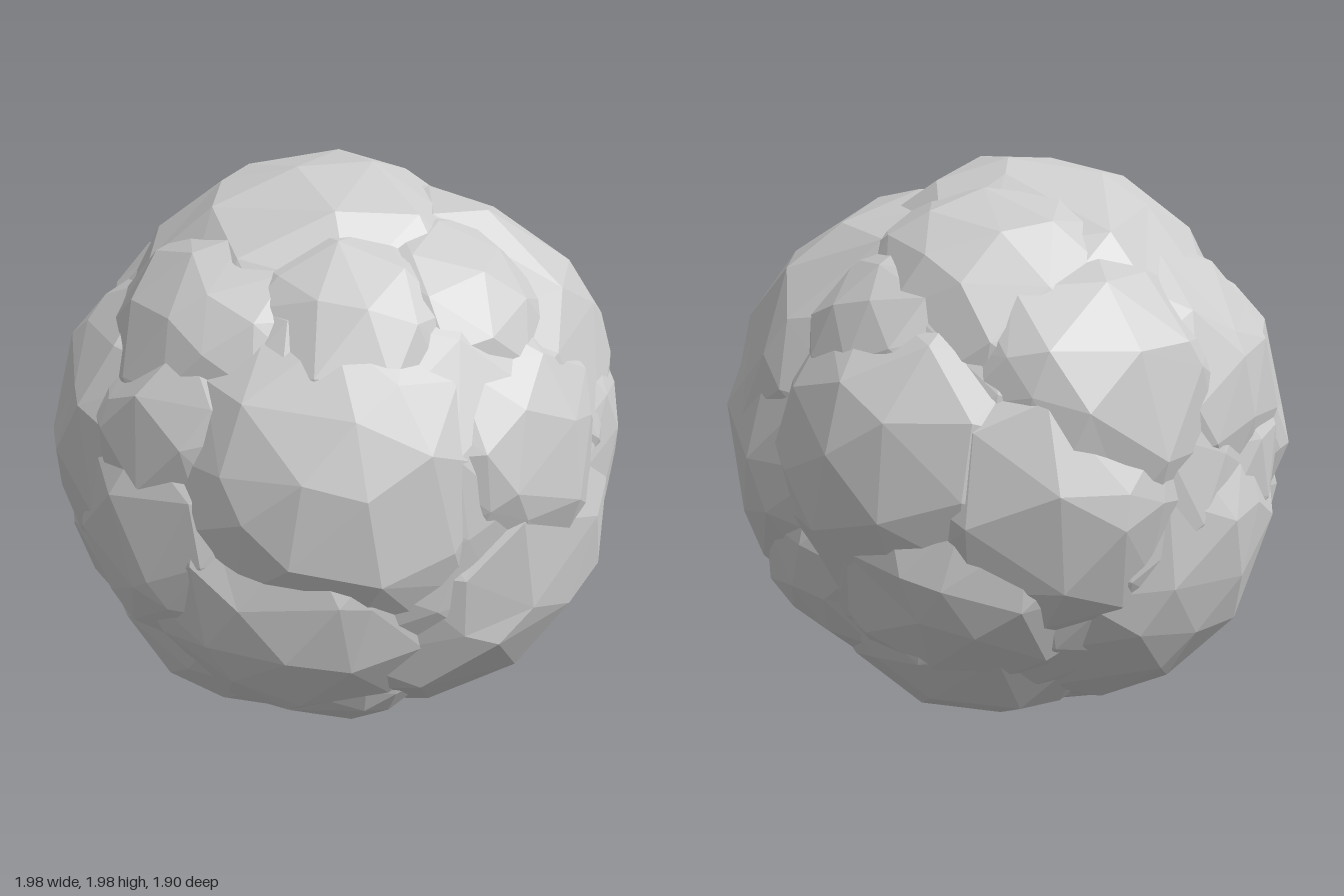
import * as THREE from 'three';

// Repeatable value in -1..1 for a vertex, so shared corners move together
function hash(v, seed) {
  const k = Math.round(v.x * 50) * 12.9898 + Math.round(v.y * 50) * 78.233 + Math.round(v.z * 50) * 37.719 + seed * 4.131;
  const s = Math.sin(k) * 43758.5453;
  return (s - Math.floor(s)) * 2 - 1;
}

// Faceted boulder: an icosphere with every corner nudged
function boulder(radius, detail, jitter, seed) {
  const geo = new THREE.IcosahedronGeometry(1, detail);
  const pos = geo.attributes.position;
  const turn = new THREE.Euler(seed * 1.7, seed * 2.3, seed * 0.9);
  const v = new THREE.Vector3(), n = new THREE.Vector3();
  for (let i = 0; i < pos.count; i++) {
    v.fromBufferAttribute(pos, i);
    n.set(hash(v, seed), hash(v, seed + 11), hash(v, seed + 23));
    v.addScaledVector(n, jitter).normalize();
    v.multiplyScalar(radius * (1.015 + 0.15 * jitter * n.x)).applyEuler(turn);
    pos.setXYZ(i, v.x, v.y, v.z);
  }
  geo.computeVertexNormals();
  return geo;
}

// Lumps: direction from the centre, half-angle covered in degrees, outer reach
const LUMPS = [
  // front
  ['rightBrowLump', -0.43, 0.2, 0.86, 33, 0.98],
  ['leftBrowLump', 0.4, 0.24, 0.85, 27, 0.97],
  ['lowerFrontLump', 0.46, -0.57, 0.68, 41, 1.0],
  ['lowerRightFrontLump', -0.58, -0.42, 0.68, 30, 1.0],
  ['topFrontLump', -0.25, 0.72, 0.62, 25, 0.96],
  ['topFrontLeftLump', 0.25, 0.74, 0.57, 24, 0.96],
  // left side
  ['upperLeftLump', 0.78, 0.57, 0.22, 36, 1.01],
  ['largeLeftLump', 0.94, 0.08, 0.2, 36, 1.0],
  ['leftBackLump', 0.72, 0.14, -0.6, 31, 0.98],
  ['leftBackShoulder', 0.65, 0.6, -0.42, 20, 0.97],
  ['lowerLeftLump', 0.85, -0.45, -0.15, 26, 0.97],
  // top
  ['topLump', -0.2, 1, -0.08, 38, 1.0],
  ['topBackLump', 0.32, 0.78, -0.5, 28, 0.98],
  // back
  ['upperBackLump', -0.03, 0.45, -0.9, 27, 0.98],
  ['backLump', 0.22, -0.02, -0.96, 30, 0.97],
  ['backRightLump', -0.6, 0.45, -0.65, 28, 0.97],
  ['lowerBackRightLump', -0.45, -0.53, -0.67, 36, 0.99],
  ['lowerBackLeftLump', 0.52, -0.4, -0.75, 27, 0.98],
  ['rightBackSideLump', -0.72, 0.02, -0.68, 22, 0.94],
  // right side
  ['rightSideLump', -0.95, 0.2, -0.12, 31, 1.0],
  ['rightFrontSideLump', -0.9, -0.15, 0.38, 26, 0.99],
  ['rightUpperSideLump', -0.88, 0.38, 0.36, 24, 0.97],
  ['shoulderLump', -0.68, 0.7, 0.25, 24, 0.99],
  ['rightLowerLump', -0.92, -0.35, -0.15, 27, 0.98],
  ['lowerSideLump', -0.64, -0.7, 0.2, 28, 0.99],
  // underside
  ['underBackLump', 0.4, -0.8, -0.44, 29, 0.98],
  ['underRightLump', -0.32, -0.92, -0.2, 27, 0.97],
  ['underLump', 0.1, -0.98, 0.05, 26, 1.0],
  ['smallFootLump', -0.2, -0.82, 0.5, 22, 0.98],
];

export function createModel() {
  const group = new THREE.Group();
  group.name = 'lumpyBoulder';
  const material = new THREE.MeshStandardMaterial({ color: 0xcccccc, flatShading: true });
  const add = (name, geo, x, y, z) => {
    const mesh = new THREE.Mesh(geo, material);
    mesh.name = name;
    mesh.position.set(x, y + 1, z);
    group.add(mesh);
  };

  // Core closes the creases between the lumps
  add('core', boulder(0.91, 3, 0.08, 3), 0, 0, 0);

  // Each lump is a sphere whose surface sinks to the crease depth at its half-angle
  LUMPS.forEach(([name, x, y, z, deg, reach], i) => {
    const crease = reach - 0.08;
    const c = Math.cos(THREE.MathUtils.degToRad(deg));
    const d = (reach * reach - crease * crease) / (2 * (reach - crease * c));
    const centre = new THREE.Vector3(x, y, z).normalize().multiplyScalar(d);
    add(name, boulder(reach - d, 2, 0.12, i + 1), centre.x, centre.y, centre.z);
  });
  return group;
}
